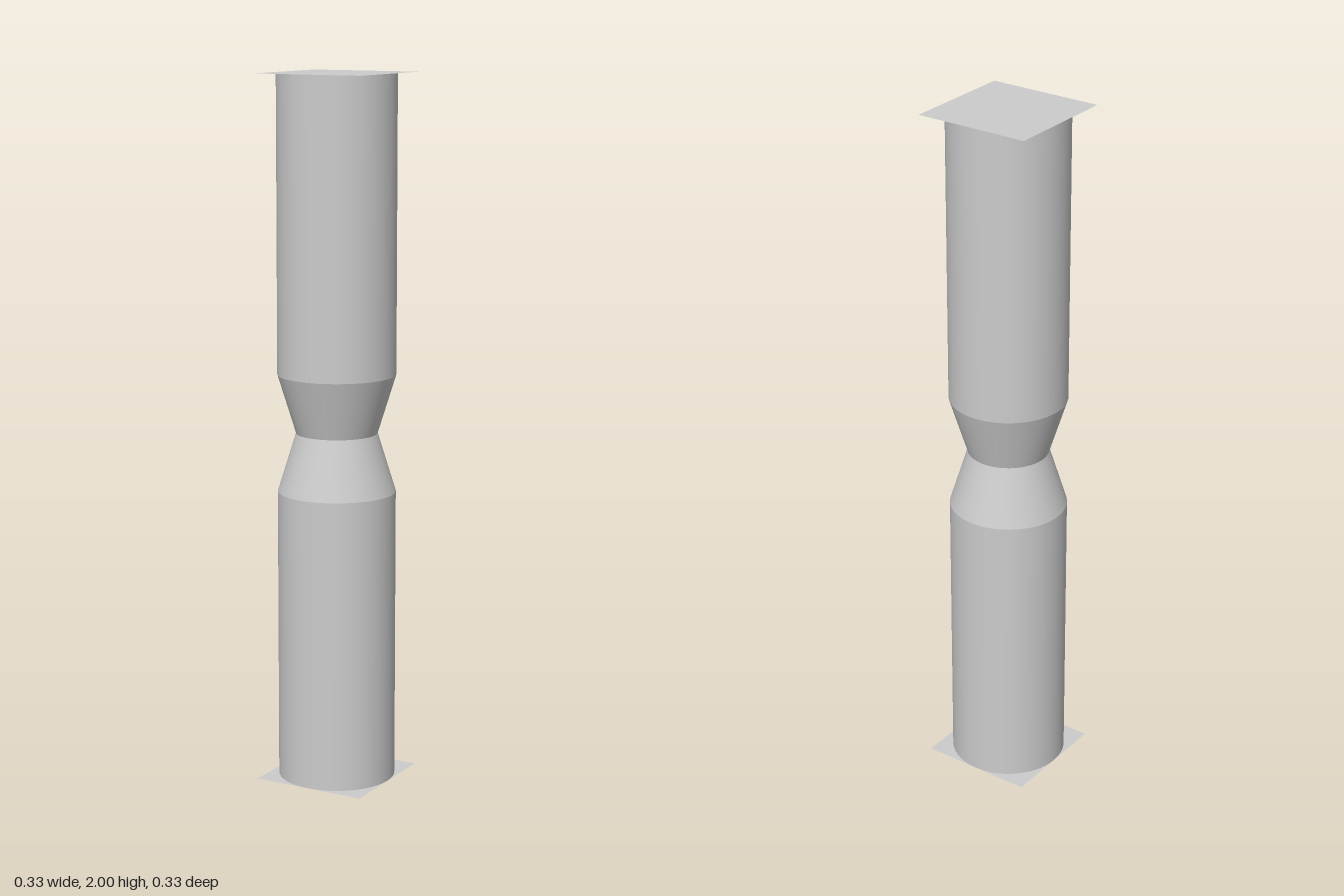
import * as THREE from 'three';

const R = 1 / 6;      // column radius, also half the plate width
const WAIST = 0.115;  // radius at the narrow middle

export function createModel() {
  const group = new THREE.Group();
  const material = new THREE.MeshStandardMaterial({ color: 0xcccccc, side: THREE.DoubleSide });

  // open round section between two heights
  const section = (name, y0, y1, r0, r1) => {
    const mesh = new THREE.Mesh(new THREE.CylinderGeometry(r1, r0, y1 - y0, 48, 1, true), material);
    mesh.position.y = (y0 + y1) / 2;
    mesh.name = name;
    group.add(mesh);
  };
  section('lowerColumn', 0, 1 - R, R, R);
  section('lowerTaper', 1 - R, 1, R, WAIST);
  section('upperTaper', 1, 1 + R, WAIST, R);
  section('upperColumn', 1 + R, 2, R, R);

  // thin square end plates, facing outwards
  for (const [name, y, turn] of [['bottomPlate', 0, Math.PI / 2], ['topPlate', 2, -Math.PI / 2]]) {
    const plate = new THREE.Mesh(new THREE.PlaneGeometry(2 * R, 2 * R), material);
    plate.rotation.x = turn;
    plate.position.y = y;
    plate.name = name;
    group.add(plate);
  }
  return group;
}
